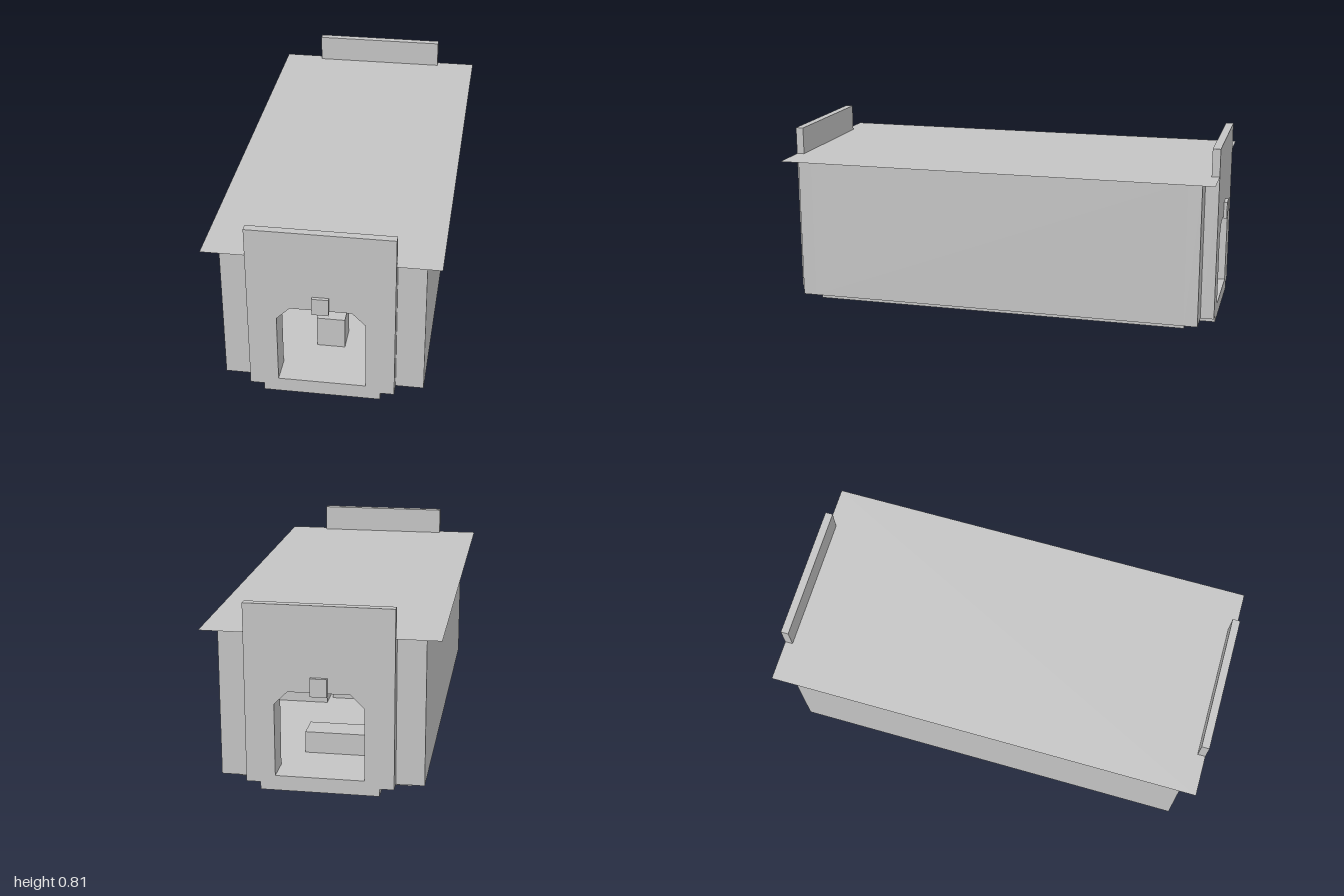
import * as THREE from 'three';

const grey = new THREE.MeshStandardMaterial({ color: 0xc4c4c4, side: THREE.DoubleSide });
grey.name = 'plain grey';

export function createModel() {
  const model = new THREE.Group();
  model.name = 'gatedHall';

  const add = (name, geometry, parent = model) => {
    const mesh = new THREE.Mesh(geometry, grey);
    mesh.name = name;
    parent.add(mesh);
    return mesh;
  };
  // Box given by its limits on each axis
  const box = (name, x0, x1, y0, y1, z0, z1, parent) => {
    const mesh = add(name, new THREE.BoxGeometry(x1 - x0, y1 - y0, z1 - z0), parent);
    mesh.position.set((x0 + x1) / 2, (y0 + y1) / 2, (z0 + z1) / 2);
    return mesh;
  };
  const outline = (points) => points.map(([x, y]) => new THREE.Vector2(x, y));

  // Wall slab pierced by the chamfered doorway
  const doorWall = (name, halfWidth, y0, y1, z0, z1, parent) => {
    const shape = new THREE.Shape(outline([
      [-halfWidth, y0], [halfWidth, y0], [halfWidth, y1], [-halfWidth, y1]]));
    shape.holes.push(new THREE.Path(outline([
      [-0.187, 0.065], [-0.187, 0.38], [-0.13, 0.437],
      [0.13, 0.437], [0.187, 0.38], [0.187, 0.065]])));
    const mesh = add(name, new THREE.ExtrudeGeometry(shape, { depth: z1 - z0, bevelEnabled: false }), parent);
    mesh.position.z = z0;
  };

  // Plinth with notched corners
  const plinth = new THREE.Shape(outline([
    [-0.25, -0.985], [0.25, -0.985], [0.25, -0.86], [0.37, -0.86],
    [0.37, 0.86], [0.25, 0.86], [0.25, 0.985], [-0.25, 0.985],
    [-0.25, 0.86], [-0.37, 0.86], [-0.37, -0.86], [-0.25, -0.86]]));
  add('plinth', new THREE.ExtrudeGeometry(plinth, { depth: 0.033, bevelEnabled: false })
    .rotateX(-Math.PI / 2));

  // Floor, long walls and thin overhanging roof
  box('floor', -0.37, 0.37, 0.033, 0.065, -0.865, 0.865);
  for (const side of [-1, 1]) {
    const wall = box('sideWall', 0.37, 0.43, 0.033, 0.68, -0.865, 0.865);
    wall.position.x *= side;
  }
  const roof = add('roof', new THREE.PlaneGeometry(0.99, 1.97).rotateX(-Math.PI / 2));
  roof.position.y = 0.682;

  // Matching gate at each end
  for (const turn of [0, Math.PI]) {
    const gate = new THREE.Group();
    gate.name = turn ? 'backGate' : 'frontGate';
    gate.rotation.y = turn;
    doorWall('endWall', 0.43, 0.033, 0.68, 0.865, 0.925, gate);
    doorWall('facade', 0.31, 0.033, 0.68, 0.925, 0.985, gate);
    box('parapet', -0.31, 0.31, 0.68, 0.805, 0.95, 0.985, gate);
    box('keystone', -0.035, 0.035, 0.425, 0.503, 0.985, 1, gate);
    model.add(gate);
  }

  // Interior furniture and partitions
  box('frontPedestal', -0.062, 0.062, 0.065, 0.21, 0.61, 0.73);
  box('backCounter', -0.37, 0.11, 0.065, 0.16, -0.72, -0.6);
  box('bench', -0.37, 0.11, 0.065, 0.25, 0.03, 0.2);
  box('partition', -0.37, 0.11, 0.065, 0.41, -0.03, 0.03);
  box('sideCabinet', 0.125, 0.37, 0.065, 0.25, -0.1, 0.1);
  box('upperCabinet', 0.11, 0.37, 0.22, 0.385, -0.1, 0.03);

  return model;
}
